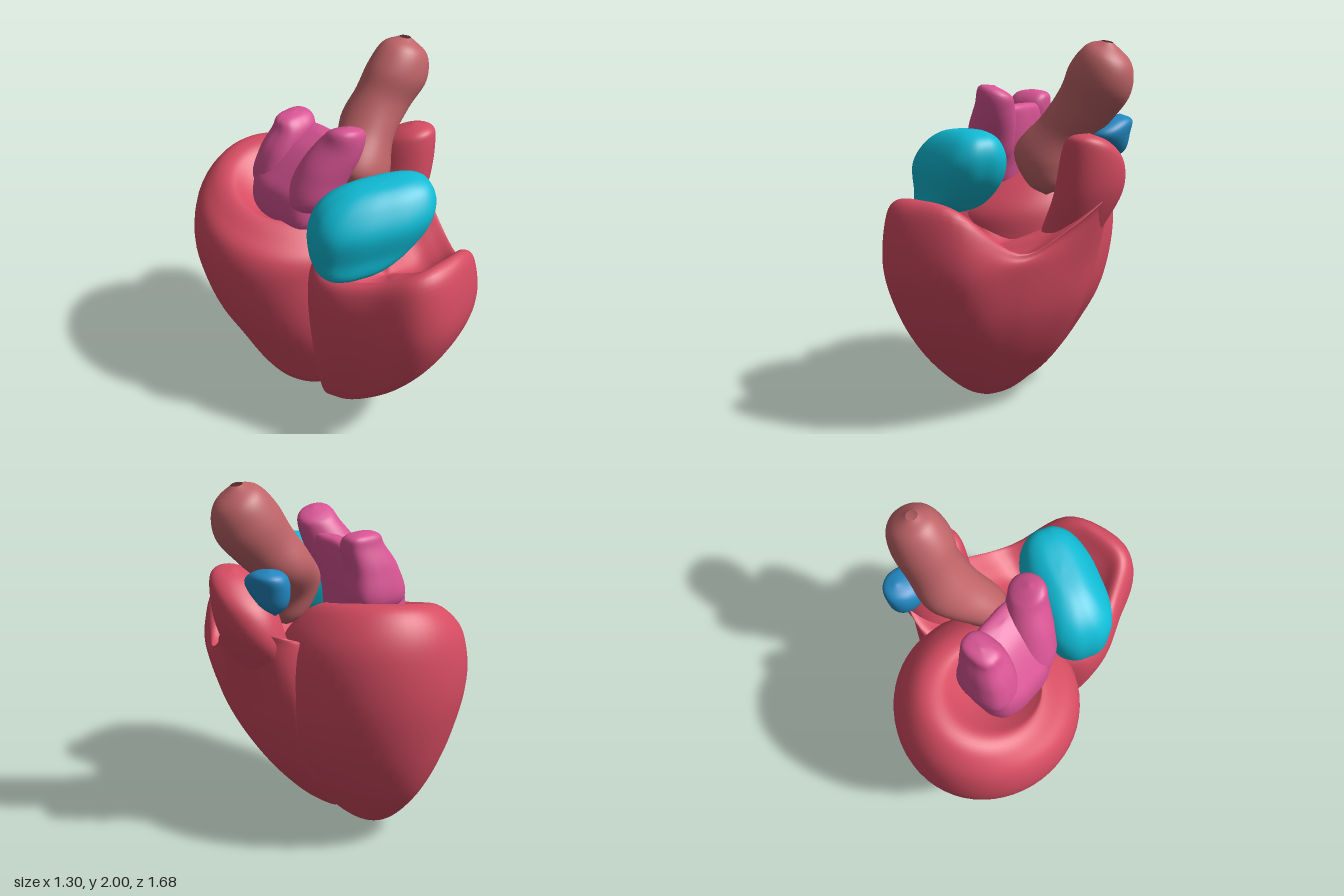
import * as THREE from 'three';

const V = (x, y, z) => new THREE.Vector3(x, y, z);
const RED = 0xd64c62, CYAN = 0x10bcd6, PINK = 0xd85494, BROWN = 0xbf6468, BLUE = 0x2287c0;

// Smooth skin through closed rings of points, ordered from bottom to top
function skin(name, color, rings, around = 56, steps = 6) {
  const smooth = rings.map(r => {
    const c = new THREE.CatmullRomCurve3(r, true, 'catmullrom', 0.5);
    return Array.from({ length: around }, (_, i) => c.getPoint(i / around));
  });
  const rows = (rings.length - 1) * steps, pos = [], index = [];
  const columns = Array.from({ length: around }, (_, i) =>
    new THREE.CatmullRomCurve3(smooth.map(r => r[i]), false, 'catmullrom', 0.5).getPoints(rows));
  for (let j = 0; j <= rows; j++)
    for (let i = 0; i < around; i++) pos.push(...columns[i][j].toArray());
  for (let j = 0; j < rows; j++)
    for (let i = 0; i < around; i++) {
      const a = j * around + i, b = j * around + (i + 1) % around;
      index.push(a, a + around, b, b, a + around, b + around);
    }
  const geo = new THREE.BufferGeometry();
  geo.setAttribute('position', new THREE.Float32BufferAttribute(pos, 3));
  geo.setIndex(index);
  geo.computeVertexNormals();
  // all points of a closed end share one normal
  const n = geo.attributes.normal;
  for (const j of [0, rows]) {
    const sum = V(0, 0, 0);
    for (let i = 0; i < around; i++) sum.add(V(0, 0, 0).fromBufferAttribute(n, j * around + i));
    sum.normalize();
    if (columns[0][j].distanceTo(columns[around >> 1][j]) < 1e-4)
      for (let i = 0; i < around; i++) n.setXYZ(j * around + i, sum.x, sum.y, sum.z);
  }
  const mesh = new THREE.Mesh(geo, new THREE.MeshStandardMaterial({ color, side: THREE.DoubleSide }));
  mesh.name = name;
  return mesh;
}

// Organic lobe from sections [x, y, z, radiusX, radiusZ, slopeX, slopeZ]; turn rotates them, square > 0 boxes them
function lobe(name, color, sections, turn = 0, square = 0) {
  const rings = sections.map(([x, y, z, rx, rz, sx = 0, sz = 0]) =>
    Array.from({ length: 16 }, (_, i) => {
      const a = i / 16 * Math.PI * 2, k = 1 + square * Math.sin(2 * a) ** 2;
      const u = Math.cos(a) * rx * k, v = Math.sin(a) * rz * k;
      const dx = u * Math.cos(turn) - v * Math.sin(turn);
      const dz = u * Math.sin(turn) + v * Math.cos(turn);
      return V(x + dx, y + sx * dx + sz * dz, z + dz);
    }));
  return skin(name, color, rings);
}

// Open cup of the front chamber: apex, outer wall, rolled rim, sunken floor
function rightVentricle() {
  const apex = V(-0.17, 0, 0), floor = V(0, 0.9, 0.3);
  const belt = [[-0.1, 0.84], [-0.29, 0.77], [-0.38, 0.55], [-0.46, 0.3], [-0.4, 0.1], [-0.1, -0.1],
    [0.15, -0.32], [0.35, -0.29], [0.455, -0.03], [0.43, 0.23], [0.35, 0.5], [0.2, 0.75]]
    .map(([x, z]) => V(x, 0.87, z));
  const rim = [[-0.07, 1.23, 0.73], [-0.23, 1.21, 0.69], [-0.32, 1.11, 0.5], [-0.38, 1.07, 0.3],
    [-0.33, 1.1, 0.16], [-0.1, 1.14, 0.05], [0.2, 1.15, -0.24], [0.44, 1.24, -0.25],
    [0.57, 1.22, -0.03], [0.47, 1.06, 0.2], [0.34, 0.96, 0.46], [0.13, 1.19, 0.69]]
    .map(p => V(...p));
  const rings = [belt.map(() => apex.clone())];
  // the rear wall spreads sooner, where it meets the rear chamber
  for (const [f, h] of [[0.2, 0.05], [0.42, 0.19], [0.67, 0.41], [0.88, 0.69]])
    rings.push(belt.map(p => V(
      THREE.MathUtils.lerp(apex.x, p.x, f), p.y * h, p.z * (p.z < 0 ? f ** 0.6 : f))));
  rings.push(belt);
  rings.push(belt.map((p, i) => {
    const q = p.clone().lerp(rim[i], rim[i].x > 0.4 ? 0.75 : 0.25);
    q.y = p.y + (rim[i].y - p.y) * 0.8;
    return q;
  }));
  rings.push(rim);
  for (const [t, drop] of [[0.2, 0.03], [0.5, 0.06]])
    rings.push(rim.map(p => p.clone().lerp(floor, t).add(V(0, -drop, 0))));
  rings.push(rim.map(() => floor.clone()));
  return skin('rightVentricle', RED, rings, 72);
}

export function createModel() {
  const model = new THREE.Group();
  model.name = 'heartChambers';

  // Rear chamber, egg-shaped with a sunken opening that tips to the front right
  model.add(lobe('leftVentricle', RED, [
    [-0.17, 0.02, -0.28, 0, 0],
    [-0.18, 0.04, -0.25, 0.09, 0.15],
    [-0.17, 0.15, -0.23, 0.19, 0.31],
    [-0.155, 0.35, -0.25, 0.305, 0.44],
    [-0.15, 0.6, -0.285, 0.43, 0.5],
    [-0.16, 0.91, -0.33, 0.49, 0.51],
    [-0.16, 1.13, -0.33, 0.465, 0.485, 0.06, -0.14],
    [-0.175, 1.26, -0.33, 0.36, 0.39, 0.17, -0.25],
    [-0.19, 1.3, -0.32, 0.26, 0.28, 0.2, -0.27],
    [-0.2, 1.24, -0.28, 0.19, 0.2, 0.15, -0.2],
    [-0.2, 1.08, -0.25, 0, 0],
  ]));

  // Front chamber with its raised outflow
  model.add(rightVentricle());
  model.add(lobe('outflowTract', RED, [
    [0.2, 0.75, 0, 0, 0],
    [0.26, 0.86, -0.03, 0.12, 0.14],
    [0.33, 1.0, -0.04, 0.15, 0.18],
    [0.425, 1.2, -0.05, 0.165, 0.215, 0.1, 0.1],
    [0.465, 1.4, -0.03, 0.15, 0.19, 0, 0.3],
    [0.475, 1.495, 0.02, 0.1, 0.11, 0, 0.25],
    [0.475, 1.53, 0.03, 0, 0],
  ]));

  // Boxy front atrium
  model.add(lobe('rightAtrium', CYAN, [
    [-0.27, 1.06, 0.27, 0, 0],
    [-0.25, 1.1, 0.28, 0.18, 0.15, 0.12],
    [-0.18, 1.22, 0.3, 0.29, 0.185, 0.12, 0],
    [-0.145, 1.36, 0.32, 0.32, 0.2, 0.09, 0],
    [-0.12, 1.47, 0.33, 0.28, 0.15, 0.1],
    [-0.1, 1.53, 0.34, 0.17, 0.08, 0.08],
    [-0.09, 1.545, 0.34, 0, 0],
  ], 0.48, 0.1));

  // Rear atrium: a broad body rising into two stubby veins
  const atrium = new THREE.Group();
  atrium.name = 'leftAtrium';
  atrium.add(lobe('atriumBody', PINK, [
    [-0.2, 1.08, -0.2, 0, 0],
    [-0.2, 1.17, -0.2, 0.15, 0.2],
    [-0.19, 1.34, -0.2, 0.175, 0.22],
    [-0.155, 1.5, -0.16, 0.15, 0.22, 0.35],
    [-0.11, 1.6, -0.12, 0.09, 0.19, 0.35],
    [-0.095, 1.635, -0.11, 0, 0],
  ], 0, 0.13));
  atrium.add(lobe('frontVein', PINK, [
    [-0.22, 1.2, -0.1, 0, 0],
    [-0.21, 1.32, -0.07, 0.14, 0.14],
    [-0.16, 1.5, 0, 0.14, 0.12, -0.1, -0.3],
    [-0.1, 1.64, 0.06, 0.11, 0.1, -0.2, -0.3],
    [-0.08, 1.72, 0.085, 0.09, 0.075, -0.25, 0.1],
    [-0.08, 1.75, 0.09, 0, 0],
  ]));
  atrium.add(lobe('rearVein', PINK, [
    [-0.17, 1.2, -0.31, 0, 0],
    [-0.17, 1.33, -0.33, 0.155, 0.11],
    [-0.15, 1.5, -0.31, 0.145, 0.11],
    [-0.11, 1.62, -0.29, 0.115, 0.09],
    [-0.1, 1.68, -0.3, 0.09, 0.06],
    [-0.1, 1.7, -0.3, 0, 0],
  ], 0, 0.1));
  model.add(atrium);

  // Large leaning artery with a bulbous root and a small open tip
  model.add(lobe('aorta', BROWN, [
    [0.18, 1.17, -0.02, 0, 0],
    [0.17, 1.23, -0.02, 0.1, 0.09, -0.1],
    [0.15, 1.37, -0.03, 0.16, 0.13, -0.3],
    [0.255, 1.53, -0.11, 0.125, 0.16, -0.6],
    [0.375, 1.67, -0.11, 0.14, 0.145, -0.6],
    [0.465, 1.8, -0.09, 0.16, 0.155, -0.5],
    [0.515, 1.92, -0.085, 0.12, 0.12, -0.45],
    [0.51, 1.99, -0.08, 0.03, 0.03, -0.2],
  ]));

  // Small artery bud behind the outflow
  model.add(lobe('pulmonaryArtery', BLUE, [
    [0.43, 1.35, -0.28, 0, 0],
    [0.435, 1.41, -0.27, 0.07, 0.08],
    [0.44, 1.5, -0.23, 0.1, 0.14],
    [0.46, 1.57, -0.27, 0.08, 0.09],
    [0.47, 1.6, -0.29, 0, 0],
  ]));

  return model;
}
